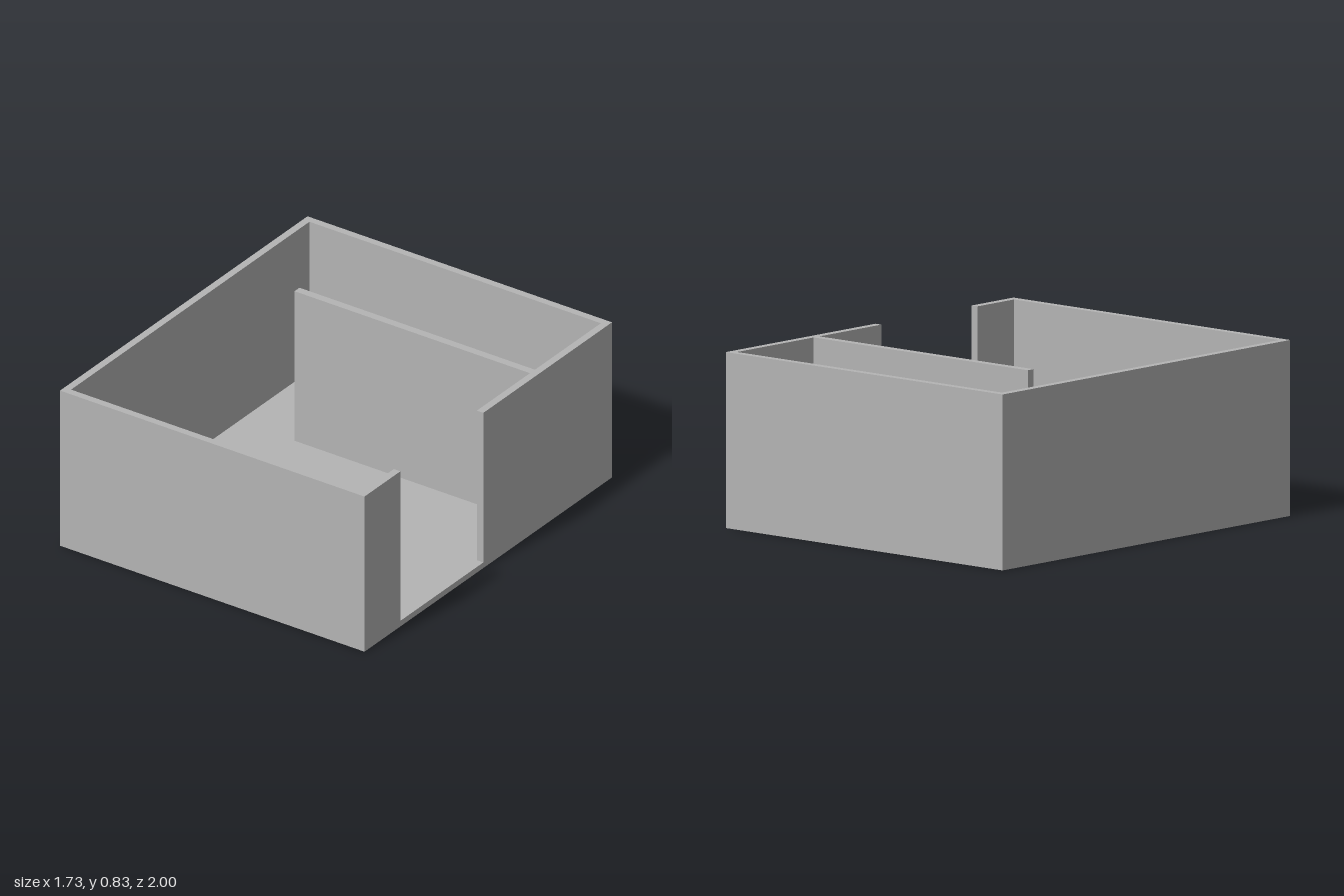
import * as THREE from 'three';

const W = 0.865, D = 1, H = 0.83;   // half width, half depth, height
const T = 0.037, FLOOR = 0.03;      // wall and floor thickness
const DOOR = [0.04, 0.71];          // z range of the opening in the +x wall
const PART = [-0.43, -0.39];        // z range of the partition
const PART_END = -0.51;             // free end of the partition

export function createModel() {
  const group = new THREE.Group();
  group.name = 'openRoom';
  const grey = new THREE.MeshStandardMaterial({ color: 0xb4b4b4 });
  grey.name = 'plain grey';

  // Floor slab
  const floor = new THREE.Mesh(new THREE.BoxGeometry(2 * W, FLOOR, 2 * D), grey);
  floor.name = 'floor';
  floor.position.y = FLOOR / 2;
  group.add(floor);

  // Outer walls and partition as one plan outline (x, z), open at the doorway
  const x = W - T, z = D - T;
  const plan = [
    [W, DOOR[0]], [W, -D], [-W, -D], [-W, D], [W, D], [W, DOOR[1]],
    [x, DOOR[1]], [x, z], [-x, z], [-x, -z], [x, -z],
    [x, PART[0]], [PART_END, PART[0]], [PART_END, PART[1]], [x, PART[1]],
    [x, DOOR[0]],
  ];
  const shape = new THREE.Shape(plan.map(([px, pz]) => new THREE.Vector2(px, -pz)));
  const geometry = new THREE.ExtrudeGeometry(shape, { depth: H - FLOOR, bevelEnabled: false });
  geometry.rotateX(-Math.PI / 2);
  const walls = new THREE.Mesh(geometry, grey);
  walls.name = 'wallsAndPartition';
  walls.position.y = FLOOR;
  group.add(walls);

  return group;
}
